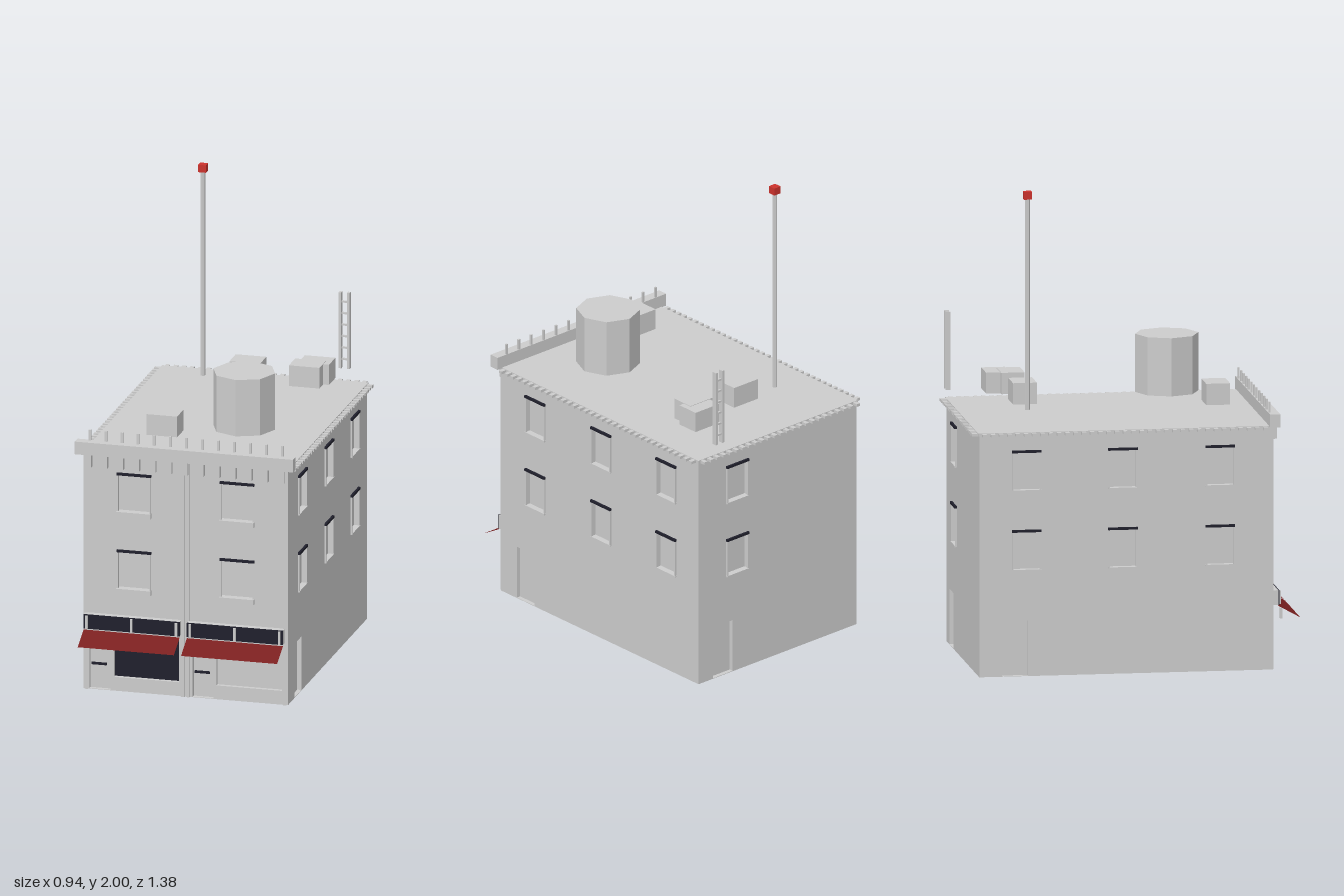
import * as THREE from 'three';

const mat = (name, color, side = THREE.FrontSide) => {
  const m = new THREE.MeshStandardMaterial({ color, side });
  m.name = name;
  return m;
};

export function createModel() {
  const root = new THREE.Group();
  root.name = 'cornerShopBuilding';
  const grey = mat('stoneGrey', 0xcccccc, THREE.DoubleSide);
  const dark = mat('darkGlass', 0x20202c, THREE.DoubleSide);
  const red = mat('awningRed', 0x7a1f1f, THREE.DoubleSide);
  const bright = mat('beaconRed', 0xcc322c);

  const add = (parent, name, geo, m, x = 0, y = 0, z = 0) => {
    const mesh = new THREE.Mesh(geo, m);
    mesh.name = name;
    mesh.position.set(x, y, z);
    parent.add(mesh);
    return mesh;
  };
  // box given by its min and max corners
  const box = (parent, name, m, x0, x1, y0, y1, z0, z1) =>
    add(parent, name, new THREE.BoxGeometry(x1 - x0, y1 - y0, z1 - z0), m,
      (x0 + x1) / 2, (y0 + y1) / 2, (z0 + z1) / 2);

  const TOP = 1.02, DEPTH = 0.02;

  // wall panel: outer face at local z = 0, openings are [x0, x1, y0, y1, material]
  function wall(name, x0, x1, openings) {
    const g = new THREE.Group();
    g.name = name;
    const s = new THREE.Shape();
    s.moveTo(x0, 0).lineTo(x1, 0).lineTo(x1, TOP).lineTo(x0, TOP).closePath();
    for (const [a, b, c, d, m = grey] of openings) {
      const h = new THREE.Path();
      h.moveTo(a, c).lineTo(a, d).lineTo(b, d).lineTo(b, c).closePath();
      s.holes.push(h);
      add(g, 'recessedPane', new THREE.PlaneGeometry(b - a, d - c), m,
        (a + b) / 2, (c + d) / 2, -DEPTH + 0.002);
    }
    add(g, 'wallPanel', new THREE.ExtrudeGeometry(s, { depth: DEPTH, bevelEnabled: false }),
      grey, 0, 0, -DEPTH);
    root.add(g);
    return g;
  }

  // window openings on both upper floors
  const FLOORS = [[0.45, 0.607], [0.785, 0.942]];
  const windowHoles = (centres, w) => centres.flatMap(c =>
    FLOORS.map(([lo, hi]) => [c - w / 2, c + w / 2, lo, hi]));

  // jambs, dark lintel and sill around each window
  function trim(g, centres, w, sillH, sillOut) {
    for (const c of centres) for (const [lo, hi] of FLOORS) {
      const a = c - w / 2, b = c + w / 2;
      box(g, 'windowLintel', dark, a - 0.004, b + 0.004, hi, hi + 0.01, -0.002, 0.01);
      box(g, 'windowSill', grey, a - 0.004, b + 0.004, lo - sillH, lo, -0.002, sillOut);
      for (const x of [a, b])
        box(g, 'windowJamb', grey, x - 0.003, x + 0.003, lo, hi, -0.002, 0.007);
    }
  }

  // side walls
  const right = wall('rightWall', -0.57, 0.66,
    [...windowHoles([-0.352, 0.057, 0.462], 0.115), [-0.47, -0.36, 0.002, 0.235]]);
  trim(right, [-0.352, 0.057, 0.462], 0.115, 0.006, 0.009);
  right.position.x = 0.44;
  right.rotation.y = Math.PI / 2;

  const left = wall('leftWall', -0.66, 0.57,
    [...windowHoles([0.352, -0.057, -0.462], 0.115), [-0.565, -0.455, 0.002, 0.235]]);
  trim(left, [0.352, -0.057, -0.462], 0.115, 0.006, 0.009);
  left.position.x = -0.44;
  left.rotation.y = -Math.PI / 2;

  // back wall
  const back = wall('backWall', -0.44, 0.44,
    [...windowHoles([-0.225], 0.115), [-0.36, -0.25, 0.002, 0.235]]);
  trim(back, [-0.225], 0.115, 0.006, 0.009);
  back.position.z = -0.66;
  back.rotation.y = Math.PI;

  // front wall with two shopfronts
  const front = wall('frontWall', -0.44, 0.44, [
    ...windowHoles([-0.222, 0.222], 0.14),
    [-0.415, -0.325, 0.002, 0.25], [-0.31, -0.028, 0.06, 0.25, dark],
    [0.03, 0.12, 0.002, 0.25], [0.132, 0.415, 0.06, 0.25]]);
  trim(front, [-0.222, 0.222], 0.14, 0.022, 0.017);
  front.position.z = 0.57;
  for (const [a, b] of [[-0.435, -0.42], [-0.02, -0.003], [0.003, 0.018], [0.42, 0.435]])
    box(front, 'pilaster', grey, a, b, 0, TOP, -0.002, 0.007);
  for (const x of [-0.41, 0.035])
    box(front, 'doorSlot', dark, x, x + 0.065, 0.103, 0.113, -0.02, -0.012);

  // shop signs, sign brackets, awnings and awning cranks
  for (const [a, b] of [[-0.432, -0.018], [0.013, 0.427]]) {
    box(root, 'signBoard', grey, a, b, 0.27, 0.332, 0.57, 0.598);
    box(root, 'signFace', dark, a, b, 0.27, 0.332, 0.598, 0.602);
    for (const x of [a + 0.014, (a + b) / 2, b - 0.014])
      box(root, 'signBracket', grey, x - 0.005, x + 0.005, 0.272, 0.328, 0.6, 0.61);
    box(root, 'awningCrank', grey, a + 0.015, a + 0.03, 0.21, 0.255, 0.607, 0.617);
    const awning = add(root, 'awning', new THREE.PlaneGeometry(b - a, Math.hypot(0.09, 0.05)),
      red, (a + b) / 2, 0.24, 0.645);
    awning.rotation.x = -Math.atan2(0.09, 0.05);
  }

  // flat roof with small teeth along the sides and back
  box(root, 'roof', grey, -0.445, 0.445, TOP - 0.004, 1.028, -0.665, 0.57);
  for (let i = 0; i < 35; i++) {
    const z = -0.64 + i * 0.0347;
    for (const s of [-1, 1])
      add(root, 'sideTooth', new THREE.BoxGeometry(0.03, 0.012, 0.018), grey, s * 0.455, 1.02, z);
  }
  for (let i = 0; i < 25; i++)
    add(root, 'backTooth', new THREE.BoxGeometry(0.018, 0.012, 0.03), grey,
      -0.425 + i * 0.0354, 1.02, -0.675);

  // front cornice with brackets below and spikes above
  box(root, 'cornice', grey, -0.47, 0.47, 1.025, 1.08, 0.557, 0.6);
  for (let i = 0; i < 13; i++) {
    const x = -0.415 + i * 0.0692;
    box(root, 'corniceBracket', grey, x - 0.013, x + 0.013, 0.97, 1.026, 0.565, 0.592);
    box(root, 'corniceSpike', grey, x - 0.005, x + 0.005, 1.08, 1.125, 0.559, 0.567);
  }

  // rooftop equipment
  const BASE = 1.08;
  const tank = new THREE.CylinderGeometry(0.133, 0.133, 0.245, 8).toNonIndexed();
  tank.computeVertexNormals();
  add(root, 'waterTank', tank, grey, 0.155, BASE + 0.1225, 0.22);
  for (const [a, b, c, d] of [[-0.208, -0.076, 0.33, 0.43], [-0.07, 0.062, -0.46, -0.36],
    [0.183, 0.315, -0.47, -0.372]])
    box(root, 'roofUnit', grey, a, b, BASE, 1.17, c, d);
  box(root, 'roofUnit', grey, 0.208, 0.34, BASE, 1.168, -0.53, -0.43);

  // mast with red beacon
  const mast = new THREE.CylinderGeometry(0.01, 0.01, 0.89, 6).toNonIndexed();
  mast.computeVertexNormals();
  add(root, 'mast', mast, grey, -0.2, BASE + 0.445, -0.42);
  box(root, 'beacon', bright, -0.217, -0.183, 1.968, 2.0, -0.437, -0.403);

  // ladder at the back edge
  for (const x of [0.322, 0.358])
    box(root, 'ladderRail', grey, x - 0.006, x + 0.006, BASE, 1.41, -0.683, -0.663);
  for (let i = 0; i < 6; i++)
    box(root, 'ladderRung', grey, 0.325, 0.355, 1.115 + i * 0.05, 1.123 + i * 0.05, -0.677, -0.669);

  return root;
}
